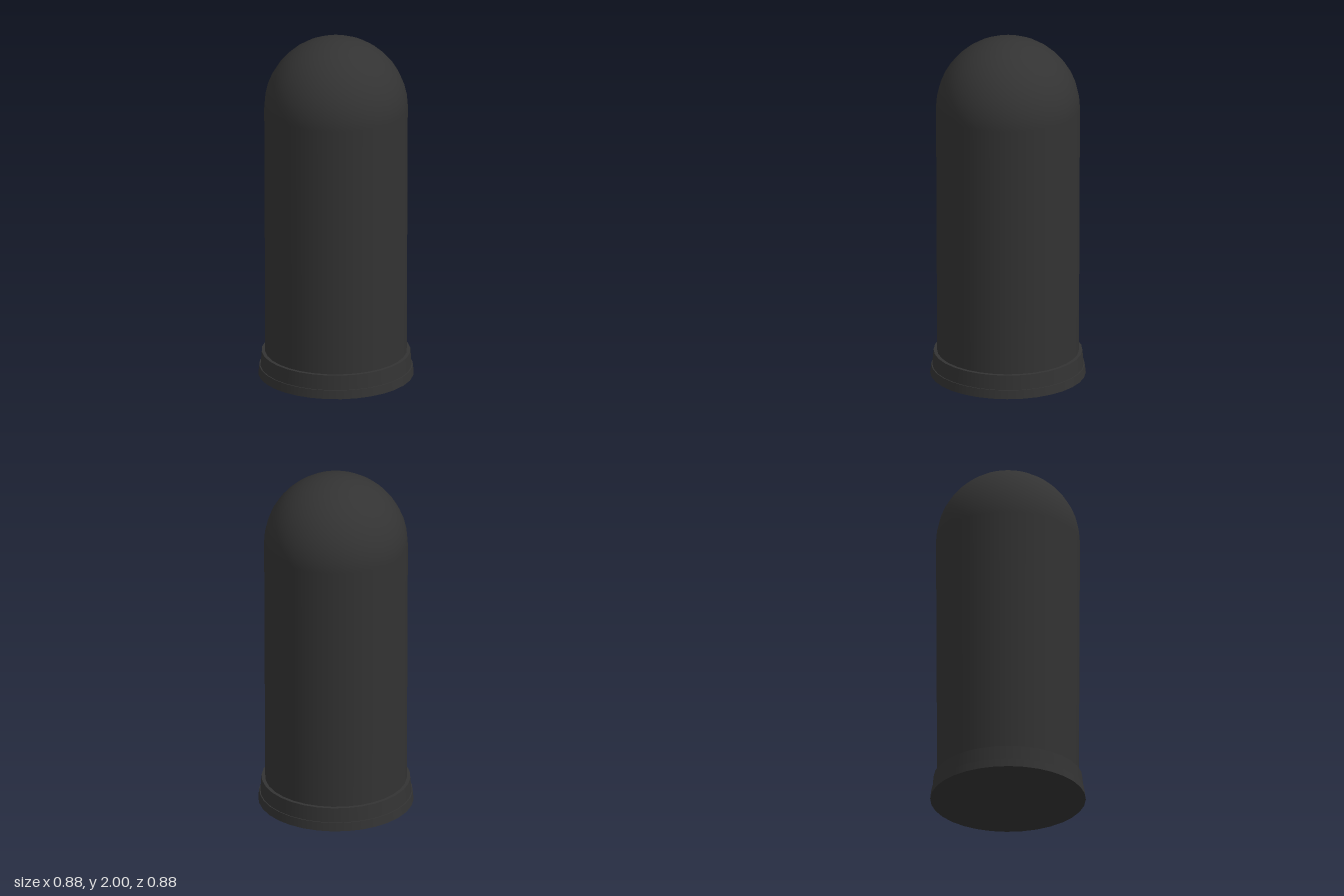
import * as THREE from 'three';

const SIDES = 32;

export function createModel() {
  const group = new THREE.Group();
  const material = new THREE.MeshStandardMaterial({ color: 0x333333 });

  const add = (name, geometry, y) => {
    const mesh = new THREE.Mesh(geometry, material);
    mesh.name = name;
    mesh.position.y = y;
    group.add(mesh);
  };
  // Tapered round section standing on height y
  const section = (name, top, bottom, y, height) =>
    add(name, new THREE.CylinderGeometry(top, bottom, height, SIDES), y + height / 2);

  // Foot disc and collar, each narrowing upwards
  section('baseDisc', 0.432, 0.438, 0, 0.05);
  section('collar', 0.419, 0.426, 0.05, 0.085);

  // Post widening very slightly towards the dome
  section('post', 0.405, 0.399, 0.1, 1.495);

  // Hemispherical cap
  add('dome', new THREE.SphereGeometry(0.405, SIDES, 10, 0, Math.PI * 2, 0, Math.PI / 2), 1.595);

  return group;
}
